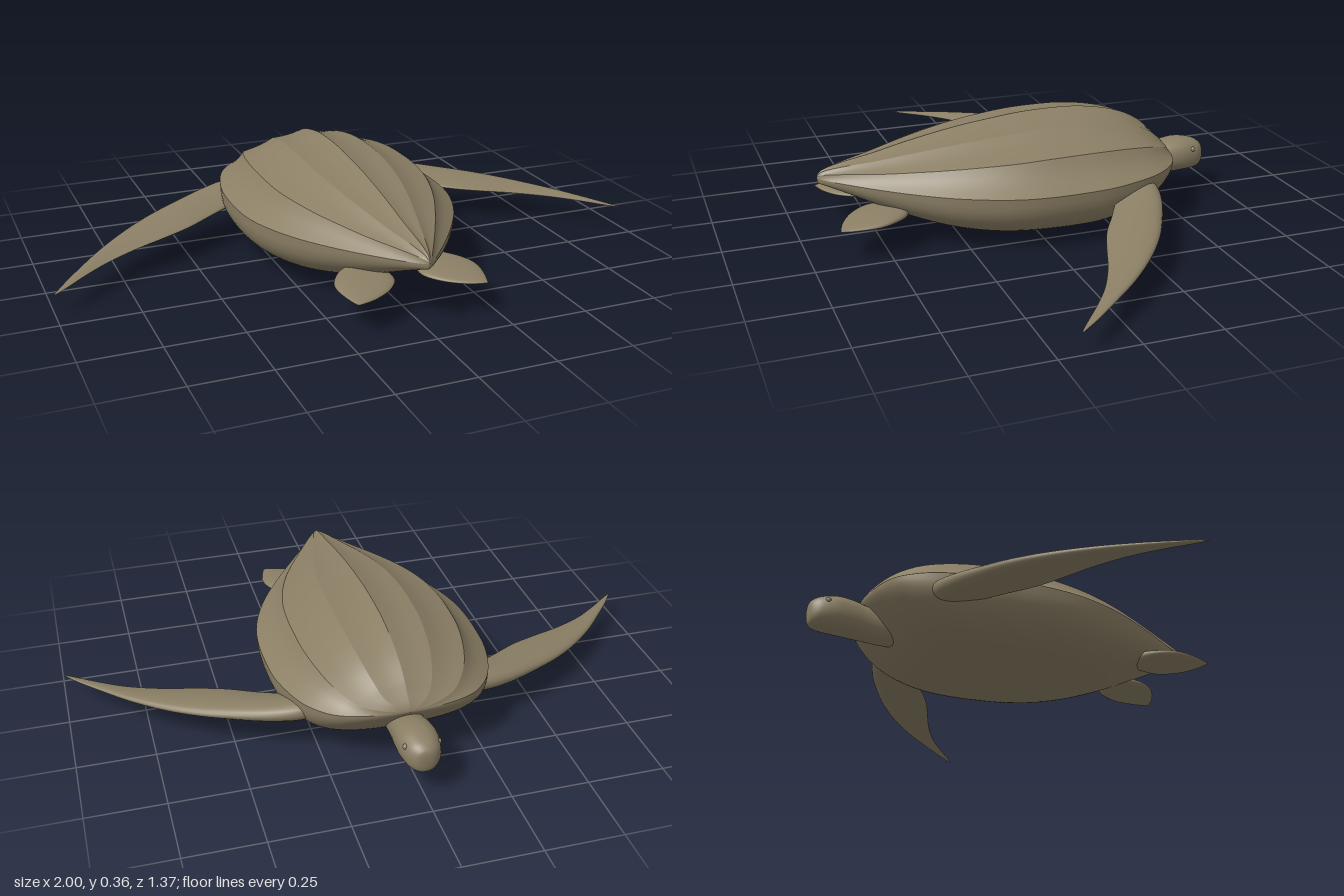
import * as THREE from 'three';
import { mergeVertices } from 'three/addons/utils/BufferGeometryUtils.js';

const TAU = Math.PI * 2;

// Smooth curve through table rows; t runs 0..1 over the rows
function profile(rows) {
  const size = rows[0].length;
  const curve = new THREE.CubicInterpolant(rows.map((_, i) => i), rows.flat(), size, new Float32Array(size));
  return (t) => Array.from(curve.evaluate(t * (rows.length - 1)));
}

// Grid surface from point(s, t); shared points are welded so it shades smoothly
function surface(ns, nt, point, flip = false) {
  const pos = [], index = [];
  for (let i = 0; i <= ns; i++) for (let j = 0; j <= nt; j++) pos.push(...point(i / ns, j / nt));
  for (let i = 0; i < ns; i++) {
    for (let j = 0; j < nt; j++) {
      const a = i * (nt + 1) + j, b = a + nt + 1;
      if (flip) index.push(a, b + 1, b, a, a + 1, b + 1);
      else index.push(a, b, b + 1, a, b + 1, a + 1);
    }
  }
  const g = new THREE.BufferGeometry();
  g.setAttribute('position', new THREE.Float32BufferAttribute(pos, 3));
  g.setIndex(index);
  const welded = mergeVertices(g, 1e-5);
  welded.computeVertexNormals();
  return welded;
}

const power = (v, e) => Math.sign(v) * Math.abs(v) ** e;

export function createModel() {
  const model = new THREE.Group();
  model.name = 'seaTurtle';
  const skin = new THREE.MeshStandardMaterial({ color: 0x8b7f65 });
  skin.name = 'oliveSkin';
  const add = (name, geometry, parent = model) => {
    const mesh = new THREE.Mesh(geometry, skin);
    mesh.name = name;
    parent.add(mesh);
    return mesh;
  };

  // Body rows: z, half width, top y, rim y, bottom y
  const body = profile([
    [-0.515, 0, 0.2, 0.2, 0.2],
    [-0.51, 0.075, 0.212, 0.2, 0.188],
    [-0.498, 0.145, 0.228, 0.2, 0.17],
    [-0.475, 0.21, 0.25, 0.199, 0.142],
    [-0.44, 0.255, 0.282, 0.197, 0.104],
    [-0.38, 0.3, 0.316, 0.195, 0.058],
    [-0.3, 0.332, 0.341, 0.193, 0.024],
    [-0.2, 0.355, 0.357, 0.19, 0.005],
    [-0.1, 0.362, 0.36, 0.189, 0.001],
    [0, 0.362, 0.357, 0.189, 0.004],
    [0.1, 0.35, 0.347, 0.189, 0.009],
    [0.2, 0.32, 0.335, 0.19, 0.02],
    [0.3, 0.275, 0.318, 0.191, 0.042],
    [0.4, 0.215, 0.298, 0.193, 0.075],
    [0.5, 0.147, 0.275, 0.197, 0.116],
    [0.6, 0.073, 0.256, 0.203, 0.16],
    [0.66, 0.027, 0.24, 0.208, 0.185],
    [0.68, 0.008, 0.226, 0.211, 0.194],
    [0.685, 0, 0.211, 0.211, 0.211],
  ]);

  // Shell: six hollowed panels meeting at raised ridges
  const shell = new THREE.Group();
  shell.name = 'shell';
  model.add(shell);
  const ridges = [[-1, 0], [-0.73, 0.53], [-0.36, 0.853], [0, 1], [0.36, 0.853], [0.73, 0.53], [1, 0]];
  for (let k = 0; k < 6; k++) {
    const [u0, v0] = ridges[k], [u1, v1] = ridges[k + 1];
    add('shellPanel' + (k + 1), surface(72, 8, (s, t) => {
      const [z, w, top, rim] = body(s);
      const hollow = 1 - 0.035 * Math.sin(Math.PI * t);
      const u = (u0 + (u1 - u0) * t) * hollow, v = (v0 + (v1 - v0) * t) * hollow;
      return [w * u, rim + (top - rim) * v, z];
    }));
    shell.add(model.children[model.children.length - 1]);
  }

  // Belly: rounded underside from rim to rim
  add('belly', surface(72, 36, (s, t) => {
    const [z, w, , rim, bottom] = body(s);
    const a = Math.PI * t;
    return [w * power(Math.cos(a), 0.77), rim - (rim - bottom) * power(Math.sin(a), 0.77), z];
  }));

  // Head and neck rows: z, half width, top y, bottom y
  const head = profile([
    [-0.687, 0, 0.14, 0.14],
    [-0.684, 0.022, 0.164, 0.108],
    [-0.674, 0.039, 0.178, 0.092],
    [-0.65, 0.055, 0.191, 0.084],
    [-0.6, 0.065, 0.201, 0.081],
    [-0.55, 0.064, 0.197, 0.078],
    [-0.5, 0.059, 0.184, 0.074],
    [-0.43, 0.056, 0.172, 0.07],
    [-0.36, 0.054, 0.165, 0.075],
  ]);
  add('head', surface(40, 32, (s, t) => {
    const [z, w, top, bottom] = head(s);
    const a = TAU * t;
    return [-w * power(Math.cos(a), 0.88), (top + bottom) / 2 + (top - bottom) / 2 * power(Math.sin(a), 0.88), z];
  }));

  // Front flipper rows: x, leading z, trailing z, leading y, trailing y, half thickness
  const frontFlipper = profile([
    [0.2, -0.36, -0.25, 0.155, 0.14, 0.03],
    [0.3, -0.372, -0.225, 0.147, 0.13, 0.03],
    [0.4, -0.345, -0.17, 0.137, 0.119, 0.026],
    [0.5, -0.297, -0.108, 0.127, 0.11, 0.022],
    [0.6, -0.24, -0.064, 0.117, 0.102, 0.018],
    [0.7, -0.165, -0.024, 0.106, 0.094, 0.014],
    [0.8, -0.07, 0.028, 0.095, 0.086, 0.01],
    [0.88, 0.022, 0.085, 0.086, 0.08, 0.007],
    [0.95, 0.108, 0.143, 0.077, 0.074, 0.004],
    [0.99, 0.163, 0.175, 0.072, 0.071, 0.002],
    [1, 0.176, 0.176, 0.07, 0.07, 0],
  ]);

  // Rear flipper rows: z, inner x, outer x, y, half thickness
  const rearFlipper = profile([
    [0.4, 0.11, 0.11, 0.118, 0],
    [0.42, 0.08, 0.145, 0.118, 0.013],
    [0.445, 0.06, 0.187, 0.117, 0.019],
    [0.5, 0.045, 0.225, 0.116, 0.019],
    [0.55, 0.047, 0.236, 0.113, 0.016],
    [0.6, 0.085, 0.229, 0.109, 0.011],
    [0.635, 0.14, 0.219, 0.106, 0.007],
    [0.652, 0.188, 0.213, 0.105, 0.003],
    [0.657, 0.208, 0.208, 0.105, 0],
  ]);

  for (const [side, label] of [[1, 'left'], [-1, 'right']]) {
    add(label + 'FrontFlipper', surface(48, 28, (s, t) => {
      const [x, z0, z1, y0, y1, h] = frontFlipper(s);
      const a = TAU * t, c = (1 + Math.cos(a)) / 2;
      return [side * x, y0 + (y1 - y0) * c + h * Math.sin(a) * (1 - 0.5 * Math.cos(a)), z0 + (z1 - z0) * c];
    }, side < 0));
    add(label + 'RearFlipper', surface(32, 24, (s, t) => {
      const [z, x0, x1, y, h] = rearFlipper(s);
      const a = TAU * t;
      return [side * ((x0 + x1) / 2 - (x1 - x0) / 2 * Math.cos(a)), y + h * Math.sin(a), z];
    }, side < 0));
    // Small eye bump on the side of the head
    const eye = add(label + 'Eye', new THREE.SphereGeometry(0.009, 14, 10));
    eye.position.set(side * 0.052, 0.165, -0.632);
  }
  return model;
}
